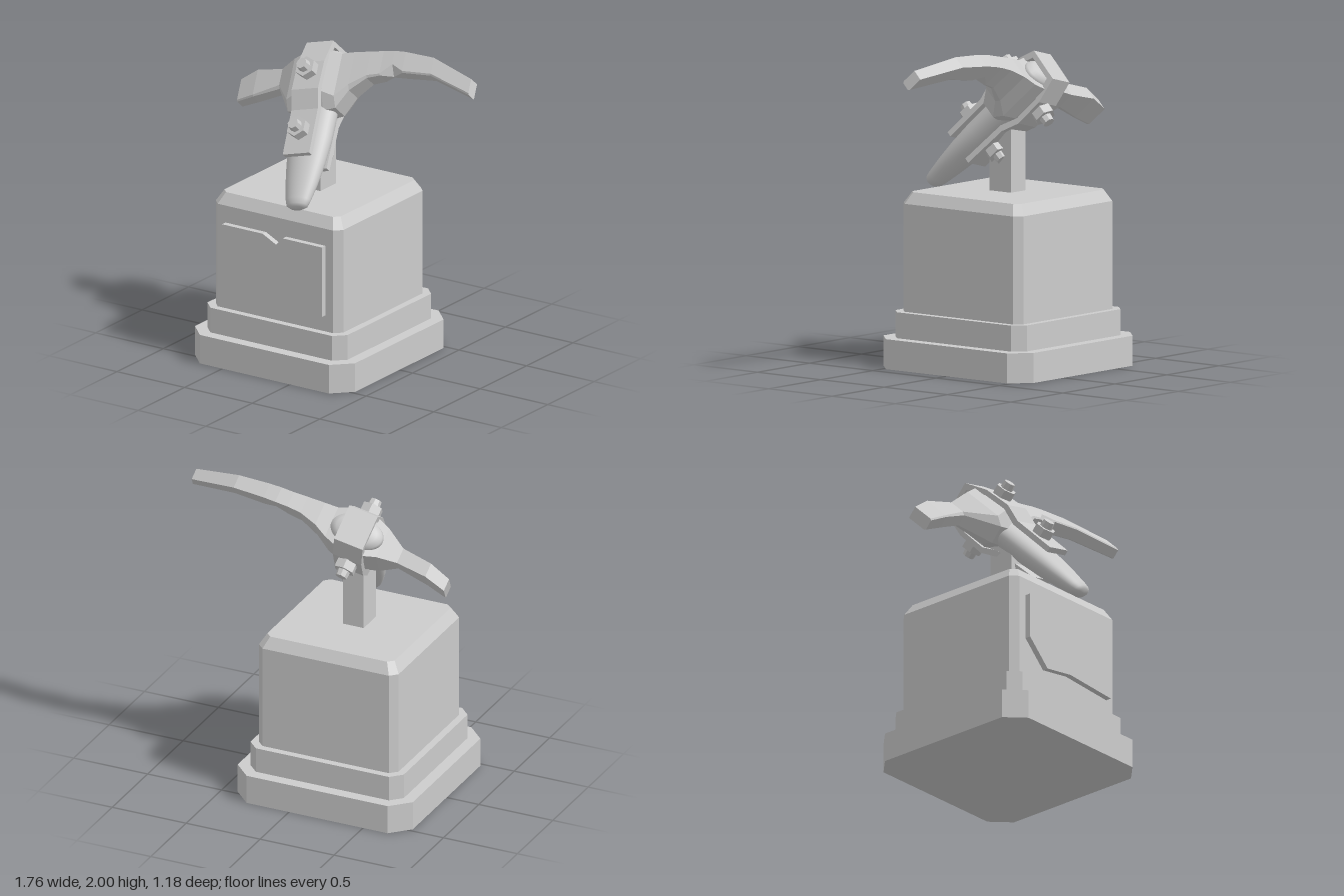
import * as THREE from 'three';

const material = new THREE.MeshStandardMaterial({ color: 0xcccccc });
const faceted = new THREE.MeshStandardMaterial({ color: 0xcccccc, flatShading: true });

function add(parent, name, geometry, mat = faceted) {
  const mesh = new THREE.Mesh(geometry, mat);
  mesh.name = name;
  parent.add(mesh);
  return mesh;
}

// Skin a row of equal-sized rings (counter-clockwise about the sweep) and cap both ends
function loft(rings) {
  const n = rings[0].length, last = rings.length - 1, index = [];
  for (let i = 0; i < last; i++) {
    for (let j = 0; j < n; j++) {
      const k = (j + 1) % n, a = i * n + j, b = i * n + k;
      index.push(a, b, b + n, a, b + n, a + n);
    }
  }
  for (let j = 1; j < n - 1; j++) {
    index.push(0, j + 1, j, last * n, last * n + j, last * n + j + 1);
  }
  const geometry = new THREE.BufferGeometry();
  geometry.setAttribute('position', new THREE.Float32BufferAttribute(rings.flat(2), 3));
  geometry.setIndex(index);
  const flat = geometry.toNonIndexed();
  flat.computeVertexNormals();
  return flat;
}

// Square ring with cut corners at height y
function cutSquare(half, cut, y) {
  const k = half - cut;
  return [[k, half], [half, k], [half, -k], [k, -half], [-k, -half], [-half, -k], [-half, k], [-k, half]]
    .map(([x, z]) => [x, y, z]);
}

// Head cross-section at b along the head: centre (a, c), half sizes, cut on the lower corners
function headRing([b, a, c, ha, hc, cut]) {
  return [
    [ha, -hc], [ha, hc], [-ha + cut, hc], [-ha, hc - cut * 0.7], [-ha, -hc + cut * 0.7], [-ha + cut, -hc],
  ].map(([y, z]) => [b, a + y, c + z]);
}

function makePedestal() {
  const pedestal = new THREE.Group();
  pedestal.name = 'pedestal';
  pedestal.position.x = -0.19;
  add(pedestal, 'lowerStep', loft([cutSquare(0.592, 0.115, 0), cutSquare(0.592, 0.115, 0.185)]));
  add(pedestal, 'upperStep', loft([cutSquare(0.518, 0.068, 0.185), cutSquare(0.518, 0.068, 0.345)]));
  add(pedestal, 'block', loft([
    cutSquare(0.472, 0.045, 0.345), cutSquare(0.472, 0.045, 1.01), cutSquare(0.43, 0.035, 1.08),
  ]));
  add(pedestal, 'post', new THREE.BoxGeometry(0.14, 0.44, 0.17)).position.set(0, 1.28, 0.005);

  // Chipped plaque on the front
  const outline = [[-0.37, 0.9], [-0.37, 0.61], [-0.21, 0.45], [0, 0.48], [0.37, 0.45], [0.37, 0.9],
    [0.08, 0.9], [0.03, 0.85], [-0.07, 0.9]].map(([x, y]) => new THREE.Vector2(x, y));
  const plaque = new THREE.ExtrudeGeometry(new THREE.Shape(outline), { depth: 0.045, bevelEnabled: false });
  add(pedestal, 'plaque', plaque).position.z = 0.465;
  return pedestal;
}

function makePick() {
  const pick = new THREE.Group();
  pick.name = 'brokenPick';

  // Local axes: x along the head, y up the handle, z out of the front strap
  const up = new THREE.Vector3(-0.24, 0.697, -0.676).normalize();
  const side = new THREE.Vector3().crossVectors(up, new THREE.Vector3(-0.1, 0.68, 0.725)).normalize();
  const out = new THREE.Vector3().crossVectors(side, up);
  pick.quaternion.setFromRotationMatrix(new THREE.Matrix4().makeBasis(side, up, out));
  pick.position.set(-0.24, 1.7, -0.11);

  // Oval tapered handle with a domed top
  const profile = [[0, -0.865], [0.045, -0.862], [0.072, -0.845], [0.084, -0.81], [0.108, -0.7], [0.13, -0.56],
    [0.144, -0.4], [0.146, -0.2], [0.155, 0], [0.172, 0.13], [0.165, 0.155], [0.13, 0.18], [0.07, 0.193], [0, 0.197]]
    .map(([r, y]) => new THREE.Vector2(r, y));
  const handle = new THREE.LatheGeometry(profile, 40);
  handle.scale(1, 1, 0.62);
  add(pick, 'handle', handle, material);

  // Head: short flat blade, thick eye, long curved point
  add(pick, 'head', loft([
    [-0.635, 0.02, -0.09, 0.075, 0.04, 0.01],
    [-0.5, 0.04, -0.055, 0.09, 0.045, 0.01],
    [-0.3, 0.04, -0.03, 0.065, 0.05, 0.02],
    [-0.17, -0.045, 0, 0.17, 0.1, 0.06],
    [-0.09, -0.045, 0, 0.185, 0.13, 0.1],
    [0.09, -0.045, 0, 0.185, 0.13, 0.1],
    [0.17, -0.04, 0, 0.175, 0.1, 0.06],
    [0.255, 0.015, 0.02, 0.125, 0.075, 0.03],
    [0.37, 0.05, 0.035, 0.088, 0.055, 0.015],
    [0.46, 0.055, 0.035, 0.082, 0.05, 0.01],
    [0.54, 0.055, 0.035, 0.078, 0.05, 0.065],
    [0.62, 0.05, 0.035, 0.07, 0.048, 0.01],
    [0.825, 0.01, 0.03, 0.06, 0.043, 0.01],
    [1.115, -0.14, 0.015, 0.053, 0.036, 0.01],
  ].map(headRing)));

  // Bent strap folded over the top of the head, with even thickness
  const outer = [[0.125, -0.55], [0.13, -0.25], [0.172, -0.13], [0.165, 0.06], [0.115, 0.222]];
  const inner = [[0.085, 0.19], [0.133, 0.05], [0.138, -0.12], [0.095, -0.235], [0.09, -0.55]];
  const mirrored = (points) => points.map(([z, y]) => [-z, y]).reverse();
  const outline = [...outer, ...mirrored(outer), ...mirrored(inner), ...inner]
    .map(([z, y]) => new THREE.Vector2(z, y));
  const strap = new THREE.ExtrudeGeometry(new THREE.Shape(outline), { depth: 0.19, bevelEnabled: false });
  strap.translate(0, 0, -0.095).rotateY(-Math.PI / 2);
  add(pick, 'strap', strap);

  // Two bolts on each face of the strap
  for (const face of [1, -1]) {
    for (const [y, z] of [[0.0, 0.16], [-0.39, 0.12]]) {
      const bolt = new THREE.Group();
      bolt.name = 'bolt';
      bolt.position.set(0, y, face * z);
      bolt.rotation.x = face * Math.PI / 2;
      add(bolt, 'nut', new THREE.CylinderGeometry(0.068, 0.068, 0.065, 6)).position.y = 0.03;
      add(bolt, 'stud', new THREE.CylinderGeometry(0.036, 0.042, 0.05, 8)).position.y = 0.08;
      pick.add(bolt);
    }
  }
  return pick;
}

export function createModel() {
  const model = new THREE.Group();
  model.name = 'pickTrophy';
  model.add(makePedestal(), makePick());
  return model;
}
